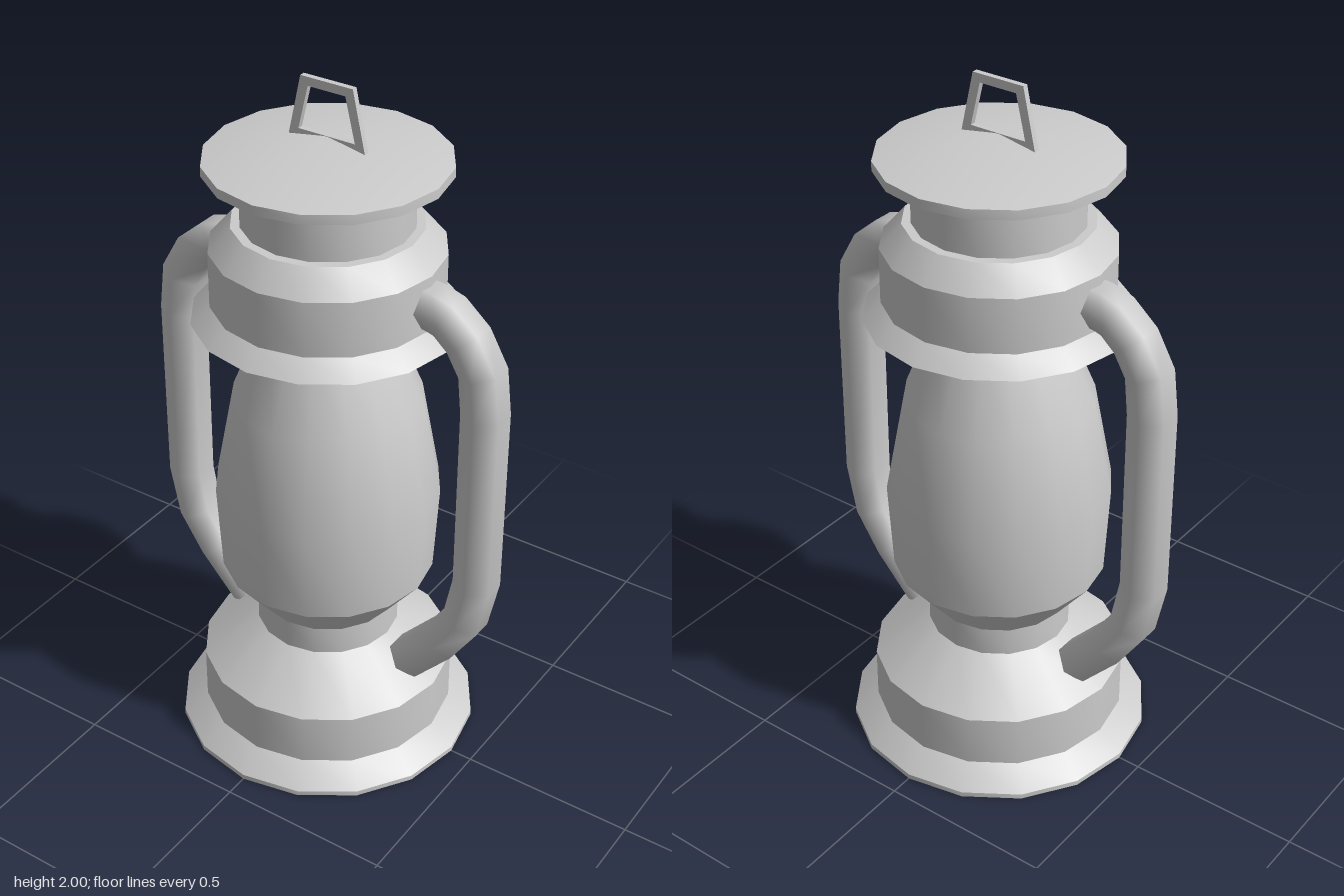
import * as THREE from 'three';
import { toCreasedNormals } from 'three/addons/utils/BufferGeometryUtils.js';

const SIDES = 16;
const TUBE_RADIUS = 0.065;
const material = new THREE.MeshStandardMaterial({ color: 0xcccccc });

function mesh(name, geometry) {
  const m = new THREE.Mesh(geometry, material);
  m.name = name;
  return m;
}

// Turned part from a [radius, y] profile, listed bottom to top
function turned(name, profile) {
  const points = profile.map(([r, y]) => new THREE.Vector2(r, y));
  const geometry = new THREE.LatheGeometry(points, SIDES);
  return mesh(name, toCreasedNormals(geometry, THREE.MathUtils.degToRad(34)));
}

// Path with one tube ring at each corner, mitred between its neighbours
class CornerPath extends THREE.Curve {
  constructor(corners) {
    super();
    this.corners = corners.map(([x, y]) => new THREE.Vector3(x, y, 0));
  }
  getPointAt(u, target = new THREE.Vector3()) {
    const i = Math.round(u * (this.corners.length - 1));
    return target.copy(this.corners[i]);
  }
  getTangentAt(u, target = new THREE.Vector3()) {
    const c = this.corners;
    const i = Math.round(u * (c.length - 1));
    target.set(0, 0, 0);
    if (i > 0) target.add(c[i].clone().sub(c[i - 1]).normalize());
    if (i < c.length - 1) target.add(c[i + 1].clone().sub(c[i]).normalize());
    return target.normalize();
  }
}

// Six-sided side tube with closed ends
function sideTube(name) {
  const path = new CornerPath([
    [0.285, 1.467], [0.325, 1.465], [0.37, 1.452], [0.428, 1.402], [0.475, 1.32],
    [0.488, 1.2], [0.488, 0.652], [0.46, 0.515], [0.39, 0.41], [0.277, 0.287],
  ]);
  const group = new THREE.Group();
  group.name = name;
  group.add(mesh('tube', new THREE.TubeGeometry(path, path.corners.length - 1, TUBE_RADIUS, 6)));
  for (const [u, sign] of [[0, -1], [1, 1]]) {
    const cap = mesh('tubeEnd', new THREE.CircleGeometry(TUBE_RADIUS, 6));
    const end = path.getPointAt(u);
    cap.position.copy(end);
    cap.lookAt(end.clone().addScaledVector(path.getTangentAt(u), sign));
    group.add(cap);
  }
  return group;
}

// Flat trapezoid ring standing on the lid
function hangingLoop() {
  const outline = (bottomX, bottomY, topX, topY) => [
    new THREE.Vector2(-bottomX, bottomY), new THREE.Vector2(bottomX, bottomY),
    new THREE.Vector2(topX, topY), new THREE.Vector2(-topX, topY),
  ];
  const shape = new THREE.Shape(outline(0.115, 1.834, 0.078, 2));
  shape.holes.push(new THREE.Path(outline(0.085, 1.855, 0.056, 1.976)));
  const geometry = new THREE.ExtrudeGeometry(shape, { depth: 0.016, bevelEnabled: false });
  return mesh('hangingLoop', geometry.translate(0, 0, -0.008));
}

export function createModel() {
  const lantern = new THREE.Group();
  lantern.name = 'lantern';

  // Flared foot, tank and burner collar
  lantern.add(turned('base', [
    [0, 0], [0.435, 0], [0.435, 0.015], [0.365, 0.07], [0.365, 0.225],
    [0.205, 0.34], [0.205, 0.425], [0, 0.425],
  ]));

  // Glass chimney and its neck
  lantern.add(turned('glass', [
    [0.205, 0.425], [0.303, 0.548], [0.317, 0.805], [0.264, 1.09], [0.18, 1.295],
  ]));
  lantern.add(turned('glassNeck', [[0.18, 1.29], [0.18, 1.35]]));

  // Skirted hood with the vent stack above
  lantern.add(turned('hood', [
    [0, 1.345], [0.367, 1.345], [0.315, 1.393], [0.315, 1.55],
    [0.255, 1.618], [0, 1.618],
  ]));
  lantern.add(turned('ventStack', [[0.23, 1.61], [0.23, 1.775]]));

  // Conical lid
  lantern.add(turned('lid', [[0, 1.77], [0.325, 1.77], [0.325, 1.797], [0, 1.855]]));
  lantern.add(hangingLoop());

  // Side tubes
  const left = sideTube('leftTube');
  const right = sideTube('rightTube');
  right.rotation.y = Math.PI;
  lantern.add(left, right);

  return lantern;
}
